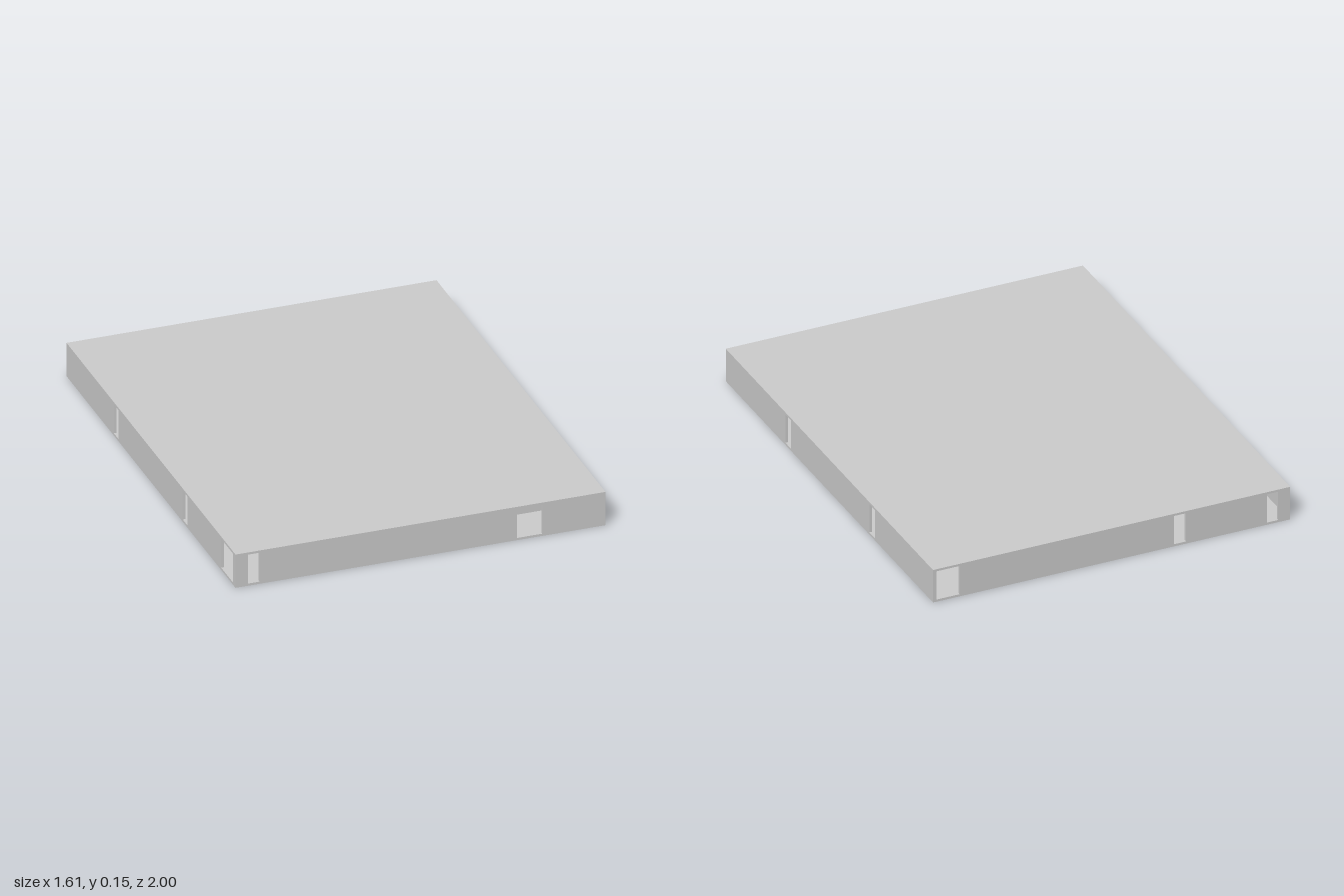
import * as THREE from 'three';

const W = 1.61, D = 2, H = 0.153; // footprint and height
const SLAB = 0.01, WALL = 0.012;

export function createModel() {
  const group = new THREE.Group();
  const material = new THREE.MeshStandardMaterial({ color: 0xcccccc, flatShading: true });

  function box(name, w, h, d, x, y, z, parent = group) {
    const mesh = new THREE.Mesh(new THREE.BoxGeometry(w, h, d), material);
    mesh.name = name;
    mesh.position.set(x, y, z);
    parent.add(mesh);
  }

  // Wall running along x or z at a fixed offset, split around its full-height openings
  function wall(name, axis, offset, from, to, openings = []) {
    const part = new THREE.Group();
    part.name = name;
    const stops = [from, ...openings.flat(), to];
    for (let i = 0; i < stops.length; i += 2) {
      const length = stops[i + 1] - stops[i];
      const mid = (stops[i] + stops[i + 1]) / 2;
      const h = H - 2 * SLAB;
      if (axis === 'x') box(name + 'Panel', length, h, WALL, mid, H / 2, offset, part);
      else box(name + 'Panel', WALL, h, length, offset, H / 2, mid, part);
    }
    group.add(part);
  }

  // Floor and roof
  box('floor', W, SLAB, D, 0, SLAB / 2, 0);
  box('roof', W, SLAB, D, 0, H - SLAB / 2, 0);

  // Outer walls with door openings
  const x = W / 2, z = D / 2 - WALL / 2;
  const zEnd = D / 2 - WALL;
  wall('frontWall', 'x', z, -x, x, [[-0.75, -0.7], [0.42, 0.53]]);
  wall('backWall', 'x', -z, -x, x, [[-0.75, -0.7], [-0.335, -0.28], [0.685, 0.79]]);
  wall('leftWall', 'z', x - WALL / 2, -zEnd, zEnd, [[-0.44, -0.385], [0.37, 0.425]]);
  wall('rightWall', 'z', -x + WALL / 2, -zEnd, zEnd, [[-0.44, -0.385], [0.375, 0.43], [0.83, 0.97]]);

  // Inner partitions: hall behind the front wall, and a central divider
  wall('hallPartition', 'x', 0.8, -0.6, x - WALL);
  wall('centralPartition', 'z', -0.1, -0.75, 0.794);

  return group;
}
